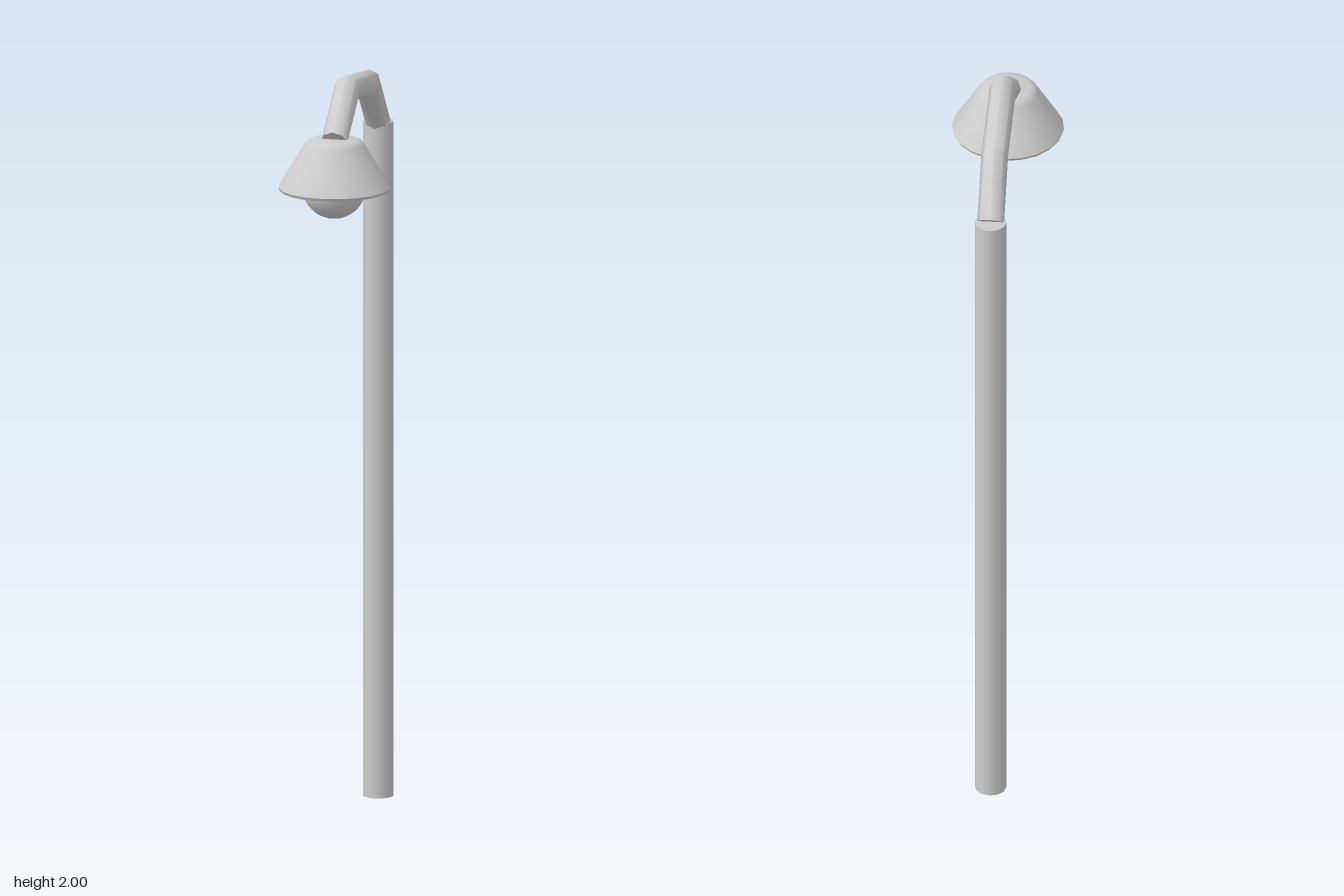
import * as THREE from 'three';
import { toCreasedNormals } from 'three/addons/utils/BufferGeometryUtils.js';

const SHADE_Z = 0.206;

// Mitred round bar following [z, y] points, closed at both ends
function bentBar(points, radius, sides) {
  const pts = points.map(([z, y]) => new THREE.Vector2(z, y));
  const dirs = pts.slice(1).map((p, i) => p.clone().sub(pts[i]).normalize());
  const pos = [], index = [];
  pts.forEach((p, i) => {
    const a = dirs[Math.max(i - 1, 0)], b = dirs[Math.min(i, dirs.length - 1)];
    const d = a.clone().add(b).normalize();
    const stretch = radius / d.dot(a);
    for (let j = 0; j < sides; j++) {
      const t = (j / sides) * Math.PI * 2;
      const s = Math.sin(t) * stretch;
      pos.push(Math.cos(t) * radius, p.y + d.x * s, p.x - d.y * s);
    }
  });
  const last = pts.length - 1;
  for (let i = 0; i < last; i++) {
    for (let j = 0; j < sides; j++) {
      const k = (j + 1) % sides;
      const a = i * sides + j, b = i * sides + k;
      index.push(a, b, a + sides, b, b + sides, a + sides);
    }
  }
  for (let j = 1; j < sides - 1; j++) {
    const e = last * sides;
    index.push(0, j + 1, j, e, e + j, e + j + 1);
  }
  const geo = new THREE.BufferGeometry();
  geo.setAttribute('position', new THREE.Float32BufferAttribute(pos, 3));
  geo.setIndex(index);
  return toCreasedNormals(geo, THREE.MathUtils.degToRad(50));
}

export function createModel() {
  const group = new THREE.Group();
  group.name = 'streetLamp';
  const grey = new THREE.MeshStandardMaterial({ color: 0xcccccc });
  grey.name = 'lightGrey';

  const add = (name, geometry, y = 0, z = 0) => {
    const mesh = new THREE.Mesh(geometry, grey);
    mesh.name = name;
    mesh.position.set(0, y, z);
    group.add(mesh);
  };

  // Upright post
  add('pole', new THREE.CylinderGeometry(0.041, 0.041, 1.797, 12), 0.8985, -0.312);

  // Curved neck carrying the lamp
  add('arm', bentBar([[-0.308, 1.795], [-0.188, 1.924], [0.051, 1.963], [0.205, 1.855]], 0.035, 8));

  // Conical shade with softened top edge and a closed underside
  const profile = [
    [0, 1.727], [0.142, 1.727], [0.146, 1.735], [0.079, 1.848],
    [0.072, 1.857], [0.06, 1.862], [0, 1.862],
  ].map(([r, y]) => new THREE.Vector2(r, y));
  const shade = new THREE.LatheGeometry(profile, 20);
  add('shade', toCreasedNormals(shade, THREE.MathUtils.degToRad(48)), 0, SHADE_Z);

  // Round bulb below the shade
  add('bulb', new THREE.SphereGeometry(0.083, 20, 10, 0, Math.PI * 2, Math.PI / 2, Math.PI / 2), 1.735, SHADE_Z);

  return group;
}
